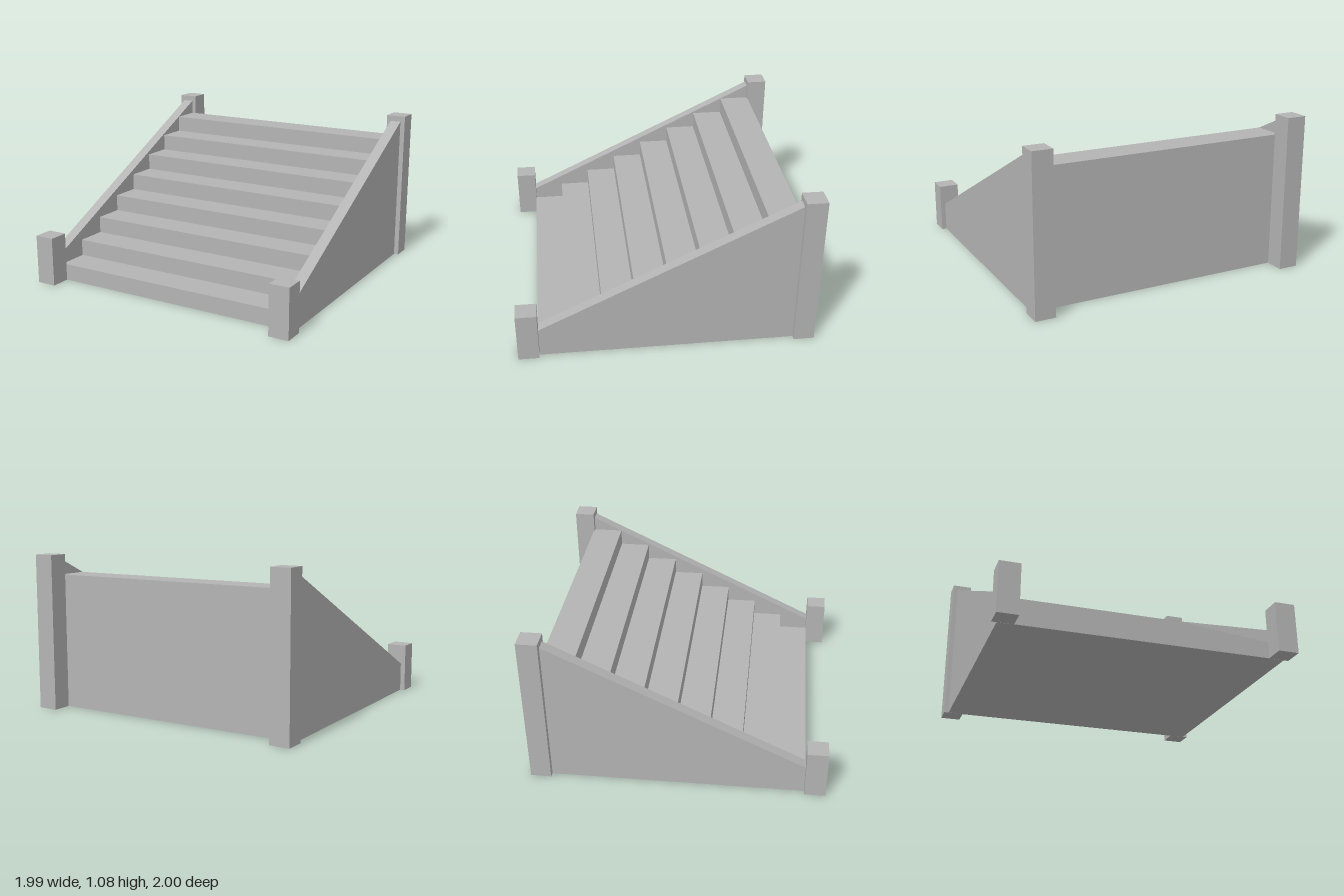
import * as THREE from 'three';

export function createModel() {
  const group = new THREE.Group();
  const stone = new THREE.MeshStandardMaterial({ color: 0xb4b4b4 });
  stone.name = 'greyStone';

  // Extrude a side profile of [z, y] points across x, centred on x
  function sideProfile(name, points, width, x) {
    const shape = new THREE.Shape(points.map(([z, y]) => new THREE.Vector2(-z, y)));
    const geo = new THREE.ExtrudeGeometry(shape, { depth: width, bevelEnabled: false });
    geo.translate(0, 0, -width / 2);
    geo.rotateY(Math.PI / 2);
    const mesh = new THREE.Mesh(geo, stone);
    mesh.name = name;
    mesh.position.x = x;
    group.add(mesh);
  }

  // Solid flight of eight steps
  const count = 8, front = 0.862, back = -0.865, rise = 0.117;
  const run = (front - back) / count;
  const profile = [[front, 0]];
  for (let i = 0; i < count; i++) {
    profile.push([front - i * run, (i + 1) * rise]);
    profile.push([front - (i + 1) * run, (i + 1) * rise]);
  }
  profile.push([back, 0]);
  sideProfile('steps', profile, 1.765, 0);

  for (const [side, s] of [['left', 1], ['right', -1]]) {
    // Sloping side wall
    sideProfile(side + 'Wall', [[0.858, 0], [0.858, 0.205], [-0.858, 1.038], [-0.858, 0]], 0.078, s * 0.921);

    // Square corner posts, short in front and tall behind
    for (const [end, z, h] of [['Front', 0.93, 0.345], ['Back', -0.93, 1.078]]) {
      const post = new THREE.Mesh(new THREE.BoxGeometry(0.14, h, 0.14), stone);
      post.name = side + end + 'Post';
      post.position.set(s * 0.923, h / 2, z);
      group.add(post);
    }
  }
  return group;
}
